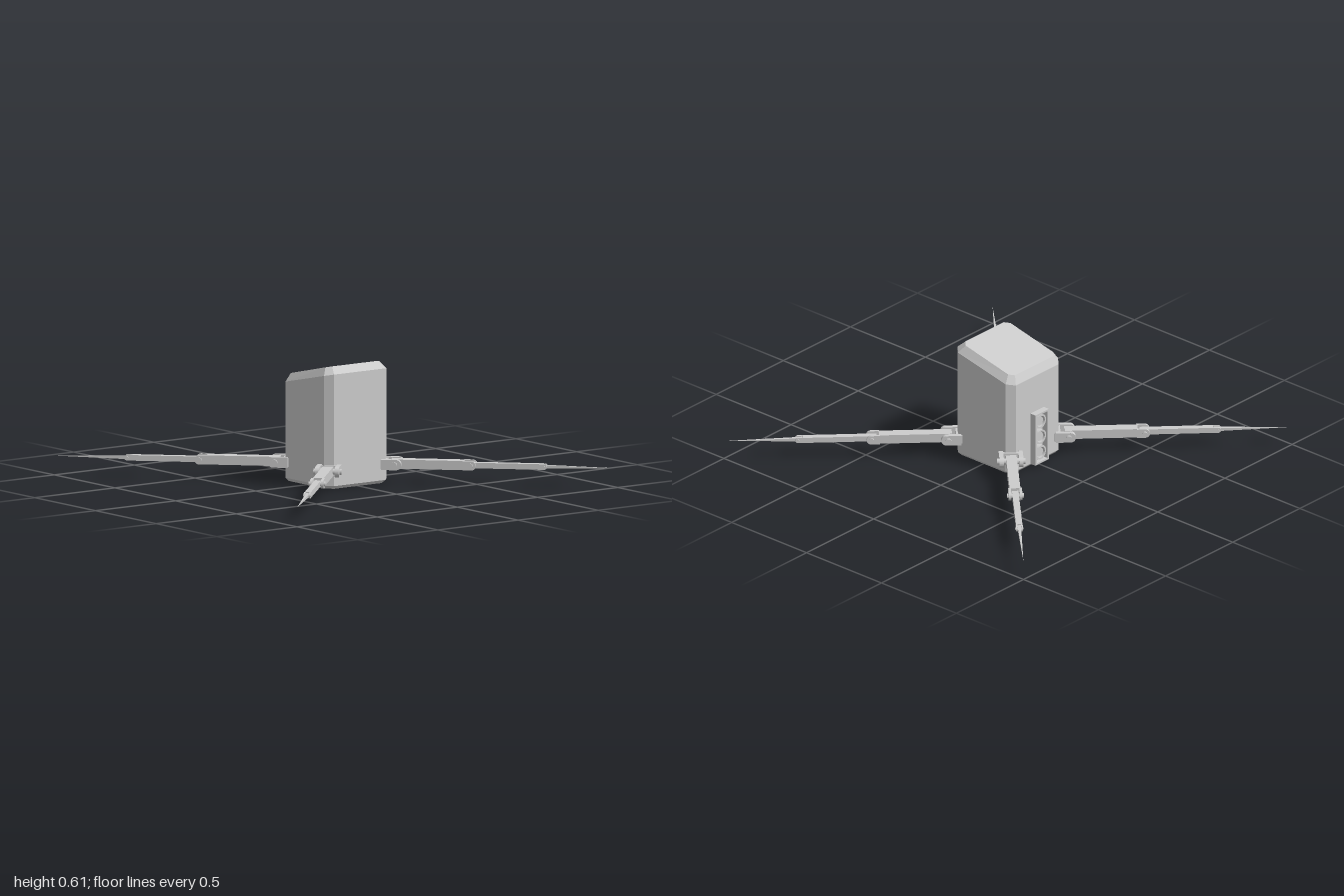
import * as THREE from 'three';

const grey = new THREE.MeshStandardMaterial({ color: 0xcccccc });
grey.name = 'light grey';

function add(parent, name, geometry, x = 0, y = 0, z = 0) {
  const mesh = new THREE.Mesh(geometry, grey);
  mesh.name = name;
  mesh.position.set(x, y, z);
  parent.add(mesh);
  return mesh;
}

// Square outline with cut corners, one corner list per height rule
function ring(x, z0, z1, cut, height) {
  return [
    [x, z1 - cut], [x, z0 + cut], [x - cut, z0], [-x + cut, z0],
    [-x, z0 + cut], [-x, z1 - cut], [-x + cut, z1], [x - cut, z1],
  ].map(([px, pz]) => new THREE.Vector3(px, height(pz), pz));
}

// Bevelled housing with a sloping lid, lofted from four rings
function bodyGeometry() {
  const rings = [
    ring(0.182, -0.182, 0.182, 0.034, () => 0),
    ring(0.195, -0.195, 0.195, 0.036, () => 0.016),
    ring(0.195, -0.195, 0.195, 0.036, z => 0.578 - 0.22 * (0.195 - z)),
    ring(0.167, -0.175, 0.157, 0.024, z => 0.613 - 0.23 * (0.157 - z)),
  ];
  const points = [];
  const tri = (a, b, c) => points.push(a, b, c);
  for (let k = 0; k < 3; k++) {
    for (let i = 0; i < 8; i++) {
      const j = (i + 1) % 8;
      tri(rings[k][i], rings[k][j], rings[k + 1][j]);
      tri(rings[k][i], rings[k + 1][j], rings[k + 1][i]);
    }
  }
  for (let i = 1; i < 7; i++) {
    tri(rings[3][0], rings[3][i], rings[3][i + 1]);
    tri(rings[0][0], rings[0][i + 1], rings[0][i]);
  }
  const geometry = new THREE.BufferGeometry().setFromPoints(points);
  geometry.computeVertexNormals();
  return geometry;
}

// Upright plate along x with a round outer end, thickness centred on z
function plate(x0, x1, height, thickness) {
  const r = height / 2;
  const s = new THREE.Shape();
  s.moveTo(x0, -r);
  s.lineTo(x1 - r, -r);
  s.absarc(x1 - r, 0, r, -Math.PI / 2, Math.PI / 2, false);
  s.lineTo(x0, r);
  s.closePath();
  return new THREE.ExtrudeGeometry(s, { depth: thickness, bevelEnabled: false, curveSegments: 10 })
    .translate(0, 0, -thickness / 2);
}

function pin(radius, length) {
  return new THREE.CylinderGeometry(radius, radius, length, 16).rotateX(Math.PI / 2);
}

// One leg, reaching out along +x
function makeLeg() {
  const leg = new THREE.Group();
  leg.name = 'leg';
  // Hip bracket
  for (const side of [-1, 1]) {
    add(leg, 'hipPlate', plate(0.235, 0.335, 0.052, 0.022), 0, 0, side * 0.049);
  }
  add(leg, 'hipMount', new THREE.BoxGeometry(0.03, 0.045, 0.1), 0.245);
  add(leg, 'hipPin', pin(0.015, 0.142), 0.3);
  // Upper arm with a forked end
  add(leg, 'upperArm', new THREE.BoxGeometry(0.365, 0.046, 0.054), 0.4625);
  for (const side of [-1, 1]) {
    add(leg, 'kneeFork', plate(0.64, 0.705, 0.046, 0.013), 0, 0, side * 0.0275);
  }
  add(leg, 'kneePin', pin(0.012, 0.084), 0.68);
  // Lower arm with a forked end
  add(leg, 'lowerArm', new THREE.BoxGeometry(0.365, 0.028, 0.032), 0.8375);
  for (const side of [-1, 1]) {
    add(leg, 'ankleFork', plate(1.015, 1.06, 0.028, 0.008), 0, 0, side * 0.013);
  }
  add(leg, 'anklePin', pin(0.006, 0.042), 1.045);
  // Pointed foot
  const spike = new THREE.ConeGeometry(0.0125, 0.38, 4, 1).rotateY(Math.PI / 4).rotateZ(-Math.PI / 2);
  add(leg, 'footSpike', spike.toNonIndexed(), 1.215).geometry.computeVertexNormals();
  return leg;
}

// Rear port panel: frame, back wall and three round sockets
function makePanel() {
  const panel = new THREE.Group();
  panel.name = 'rearPanel';
  const frame = new THREE.Shape();
  frame.moveTo(-0.05, -0.14).lineTo(0.05, -0.14).lineTo(0.05, 0.14).lineTo(-0.05, 0.14).closePath();
  const hole = new THREE.Path();
  hole.moveTo(-0.04, -0.13).lineTo(-0.04, 0.13).lineTo(0.04, 0.13).lineTo(0.04, -0.13).closePath();
  frame.holes.push(hole);
  add(panel, 'panelFrame', new THREE.ExtrudeGeometry(frame, { depth: 0.038, bevelEnabled: false }));
  add(panel, 'panelBack', new THREE.BoxGeometry(0.085, 0.265, 0.006), 0, 0, 0.003);
  for (const y of [-0.086, 0, 0.086]) {
    const socket = new THREE.Shape();
    socket.absarc(0, 0, 0.038, 0, Math.PI * 2, false);
    const bore = new THREE.Path();
    bore.absarc(0, 0, 0.029, 0, Math.PI * 2, true);
    socket.holes.push(bore);
    add(panel, 'socketRing', new THREE.ExtrudeGeometry(socket,
      { depth: 0.026, bevelEnabled: false, curveSegments: 16 }), 0, y, 0.004);
    add(panel, 'socketCore', pin(0.024, 0.018), 0, y, 0.013);
  }
  return panel;
}

export function createModel() {
  const model = new THREE.Group();
  model.name = 'fourLeggedPod';
  add(model, 'body', bodyGeometry());

  for (let i = 0; i < 4; i++) {
    const leg = makeLeg();
    leg.position.y = 0.097;
    leg.rotation.y = Math.PI / 4 + i * Math.PI / 2;
    model.add(leg);
  }

  const panel = makePanel();
  panel.position.set(0, 0.155, -0.19);
  panel.rotation.y = Math.PI;
  model.add(panel);
  return model;
}
